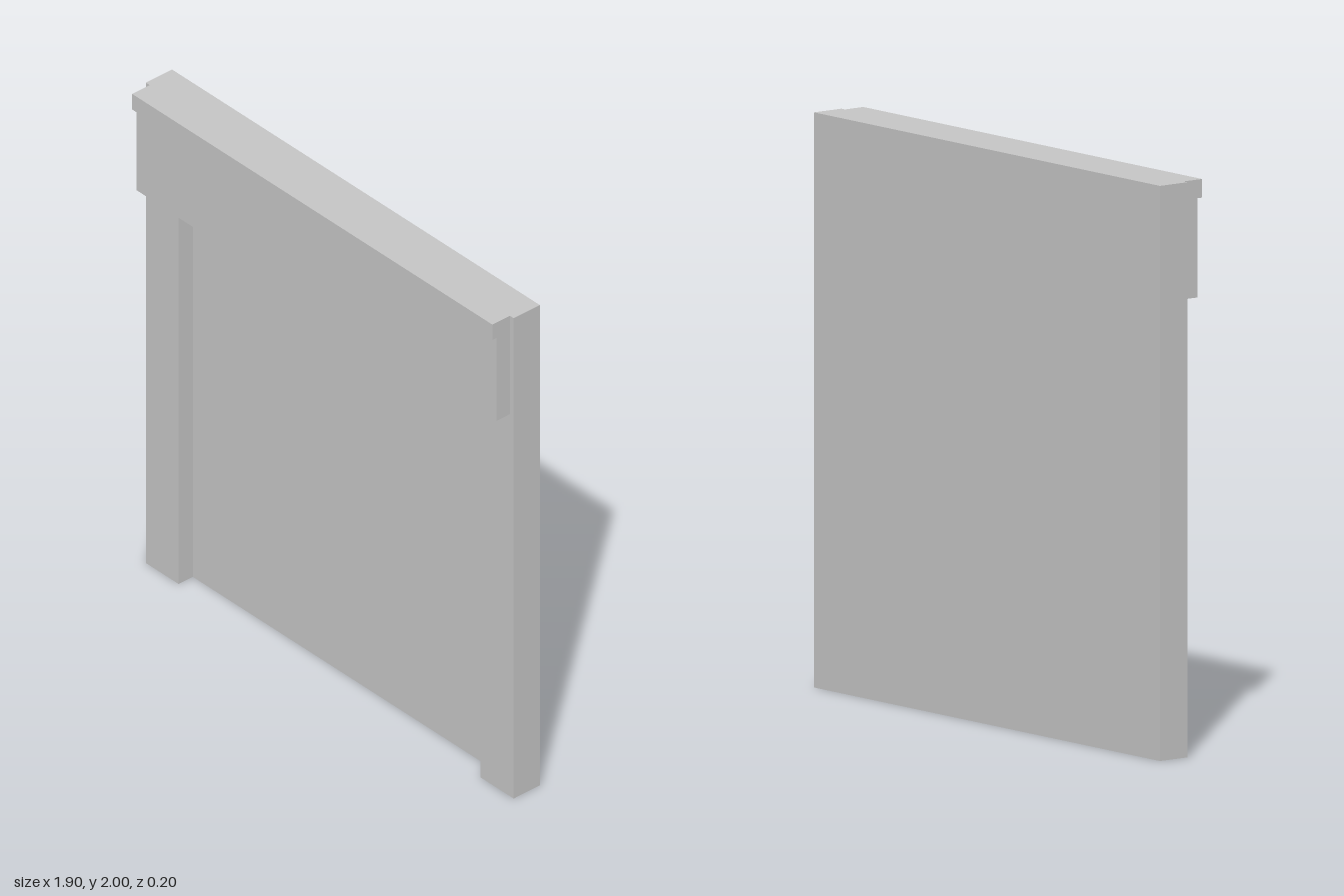
import * as THREE from 'three';

const grey = new THREE.MeshStandardMaterial({ color: 0xc6c6c6 });
grey.name = 'light grey';

// Extrude a closed outline of [x, y] points along +z
function extrude(name, points, depth) {
  const shape = new THREE.Shape(points.map(([x, y]) => new THREE.Vector2(x, y)));
  const geometry = new THREE.ExtrudeGeometry(shape, { depth, bevelEnabled: false });
  const mesh = new THREE.Mesh(geometry, grey);
  mesh.name = name;
  return mesh;
}

export function createModel() {
  const group = new THREE.Group();
  group.name = 'wallPanel';

  const W = 0.95, H = 2;                 // wall half width and height
  const back = -0.1, recess = -0.045, face = 0.02;

  // Solid slab behind the recess
  const slab = new THREE.Mesh(new THREE.BoxGeometry(W * 2, H, recess - back), grey);
  slab.name = 'backSlab';
  slab.position.set(0, H / 2, (back + recess) / 2);
  group.add(slab);

  // Raised surround with an opening that reaches the ground
  const ow = 0.78, oh = 1.525;
  const surround = extrude('doorwaySurround', [
    [-W, 0], [-ow, 0], [-ow, oh], [ow, oh], [ow, 0], [W, 0], [W, H], [-W, H],
  ], face - recess);
  surround.position.z = recess;
  group.add(surround);

  // Header board with a projecting lip, drawn in section (z, y) and run along x
  const hw = 0.93, lip = 1.935;
  const header = extrude('headerBoard', [
    [face, 1.59], [0.08, 1.59], [0.08, lip], [0.1, lip], [0.1, H], [face, H],
  ], hw * 2);
  header.rotation.y = -Math.PI / 2;
  header.position.x = hw;
  group.add(header);

  return group;
}
